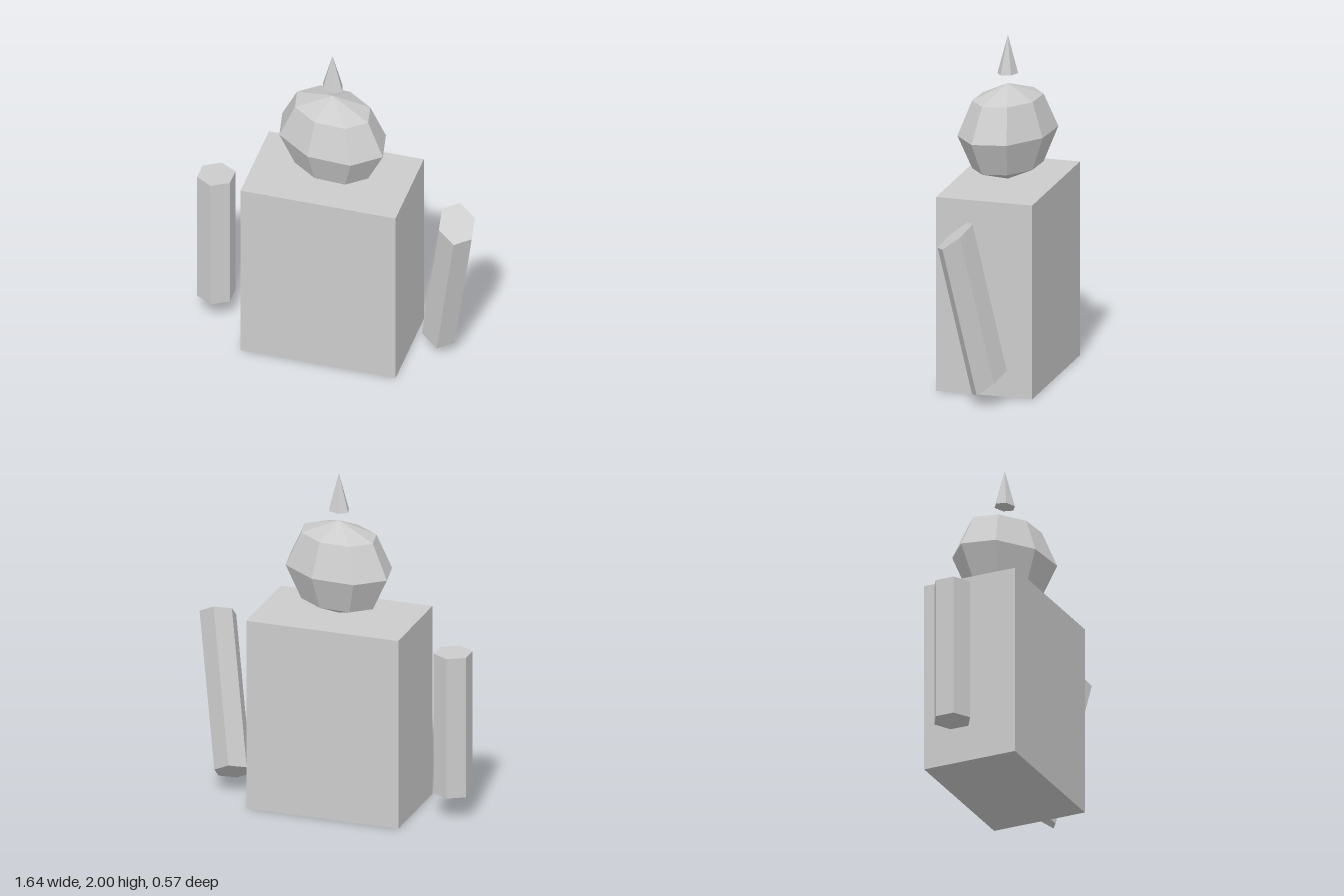
import * as THREE from 'three';

export function createModel() {
  const model = new THREE.Group();
  model.name = 'figure';

  const lightGrey = new THREE.MeshStandardMaterial({ color: 0xcccccc, flatShading: true });
  lightGrey.name = 'lightGrey';

  function add(name, geometry, x, y, z = 0, turn = 0) {
    const mesh = new THREE.Mesh(geometry, lightGrey);
    mesh.name = name;
    mesh.position.set(x, y, z);
    mesh.rotation.y = turn;
    model.add(mesh);
    return mesh;
  }

  // Block body
  add('body', new THREE.BoxGeometry(0.915, 1.145, 0.57), -0.0425, 0.5725);

  // Faceted head, an ellipsoid turned about the vertical axis
  const head = new THREE.SphereGeometry(1, 8, 4).scale(0.35, 0.2825, 0.245);
  add('head', head, -0.04, 1.432, 0, -0.335);

  // Six-sided spike floating above the head
  const spike = new THREE.ConeGeometry(1, 0.225, 6, 1, false, Math.PI / 2).scale(0.068, 1, 0.055);
  add('spike', spike, -0.04, 1.8875, 0, -0.36);

  // Upright right arm
  add('rightArm', new THREE.CylinderGeometry(0.112, 0.112, 0.85, 6), -0.727, 0.575);

  // Left arm: leaning hexagonal prism with slanted ends
  const lean = new THREE.Matrix4().makeBasis(
    new THREE.Vector3(0.11, -0.0205, -0.007),
    new THREE.Vector3(0.146, 0.891, 0.158),
    new THREE.Vector3(0.01, -0.075, 0.1)
  );
  const leftArm = new THREE.CylinderGeometry(1, 1, 1, 6).applyMatrix4(lean);
  add('leftArm', leftArm, 0.644, 0.573);

  return model;
}
